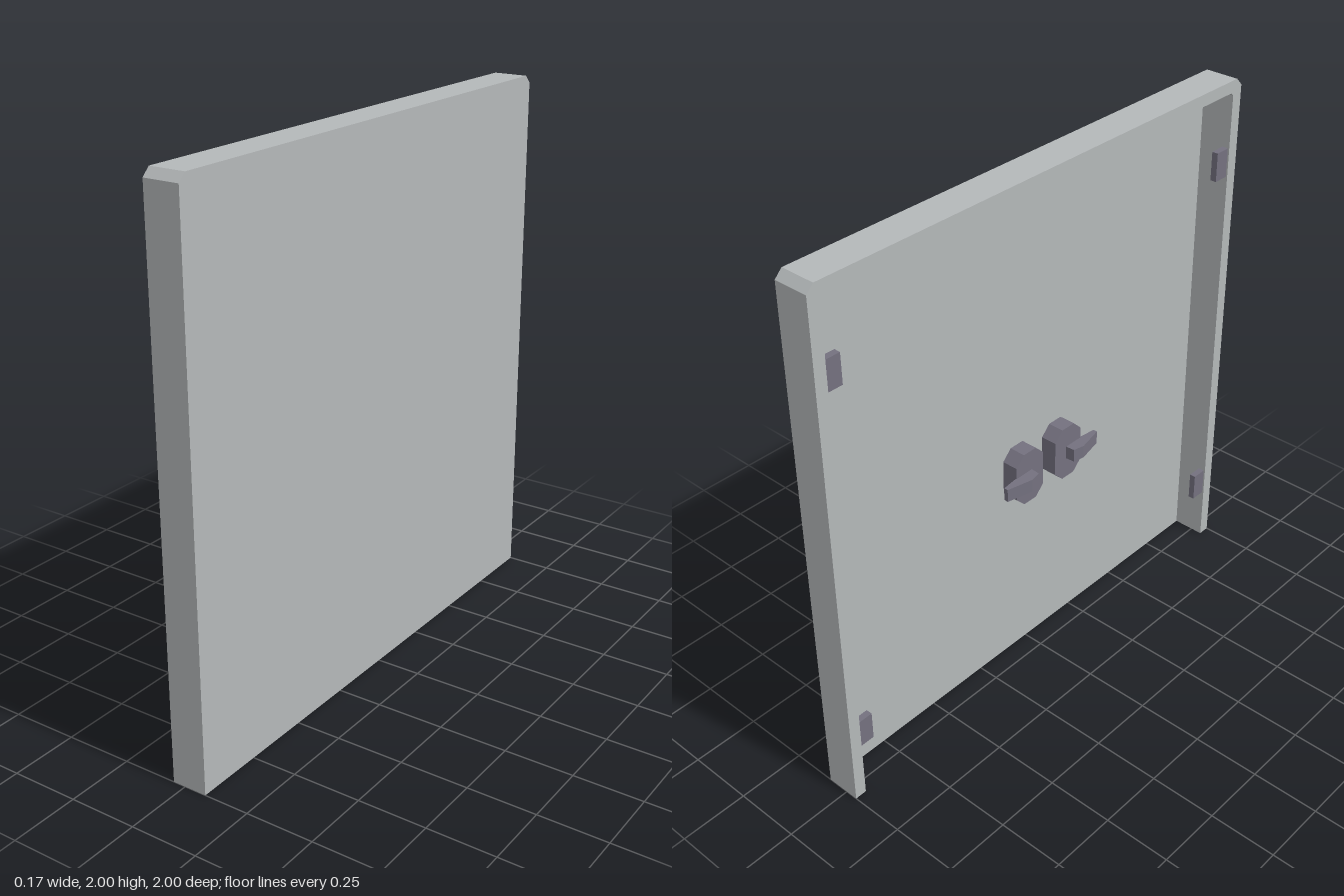
import * as THREE from 'three';

export function createModel() {
  const group = new THREE.Group();
  const steel = new THREE.MeshStandardMaterial({ color: 0xb4b8b9 });
  steel.name = 'pale grey steel';
  const hardware = new THREE.MeshStandardMaterial({ color: 0x74717f });
  hardware.name = 'dark purple grey hardware';

  const BACK = 0.083, FRONT = -0.047, WALL = 0.045, CUT = 0.028;

  const add = (name, geometry, material) => {
    const mesh = new THREE.Mesh(geometry, material);
    mesh.name = name;
    group.add(mesh);
    return mesh;
  };
  const shapeOf = (points) => new THREE.Shape(points.map(([a, b]) => new THREE.Vector2(a, b)));

  // Extrudes a (z, y) outline along x, from xBack towards -x
  const extrudeX = (points, xBack, depth) =>
    new THREE.ExtrudeGeometry(shapeOf(points), { depth, bevelEnabled: false })
      .rotateY(-Math.PI / 2)
      .translate(xBack, 0, 0);

  // Outline of the cabinet with its two cut top corners
  const outer = [[-1, 0], [1, 0], [1, 2 - CUT], [1 - CUT, 2], [CUT - 1, 2], [-1, 2 - CUT]];
  add('flatPanel', extrudeX(outer, BACK, 0.004), steel);

  // Surround: two sides and a top, open at the bottom
  const i = 1 - WALL, t = 2 - WALL, c = 0.012;
  add('surround', extrudeX([
    [1, 0], [1, 2 - CUT], [1 - CUT, 2], [CUT - 1, 2], [-1, 2 - CUT], [-1, 0],
    [-i, 0], [-i, t - c], [c - i, t], [i - c, t], [i, t - c], [i, 0],
  ], BACK - 0.002, BACK - 0.002 - FRONT), steel);

  for (const s of [-1, 1]) {
    const side = s > 0 ? 'left' : 'right';

    // Door face, set inside the surround and facing -x
    add(side + 'DoorFace', new THREE.PlaneGeometry(0.743, 1.74).rotateY(-Math.PI / 2), steel)
      .position.set(0.029, 0.98, s * 0.4815);

    // Hinges on the inner walls
    for (const y of [0.268, 1.688]) {
      add(side + 'Hinge', new THREE.BoxGeometry(0.024, 0.11, 0.06), hardware)
        .position.set(-0.029, y, s * (i - 0.03));
    }

    // Handle base: a tall plate with cut corners
    const w = 0.068, h = 0.105, k = 0.038;
    const plate = [[-w, -h + k], [-w + k, -h], [w - k, -h], [w, -h + k],
      [w, h - k], [w - k, h], [k - w, h], [-w, h - k]];
    add(side + 'HandleBase', extrudeX(plate.map(([z, y]) => [z + s * 0.1, y + 0.872]), 0.022, 0.062), hardware);

    // Lever: an (x, z) profile extruded upwards
    const lever = [[-0.036, 0.09], [-0.074, 0.093], [-0.083, 0.135], [-0.06, 0.235], [-0.044, 0.235], [-0.036, 0.16]];
    add(side + 'HandleLever', new THREE.ExtrudeGeometry(
      shapeOf(lever.map(([x, z]) => [x, -s * z])), { depth: 0.05, bevelEnabled: false })
      .rotateX(-Math.PI / 2).translate(0, 0.847, 0), hardware);
  }

  return group;
}
